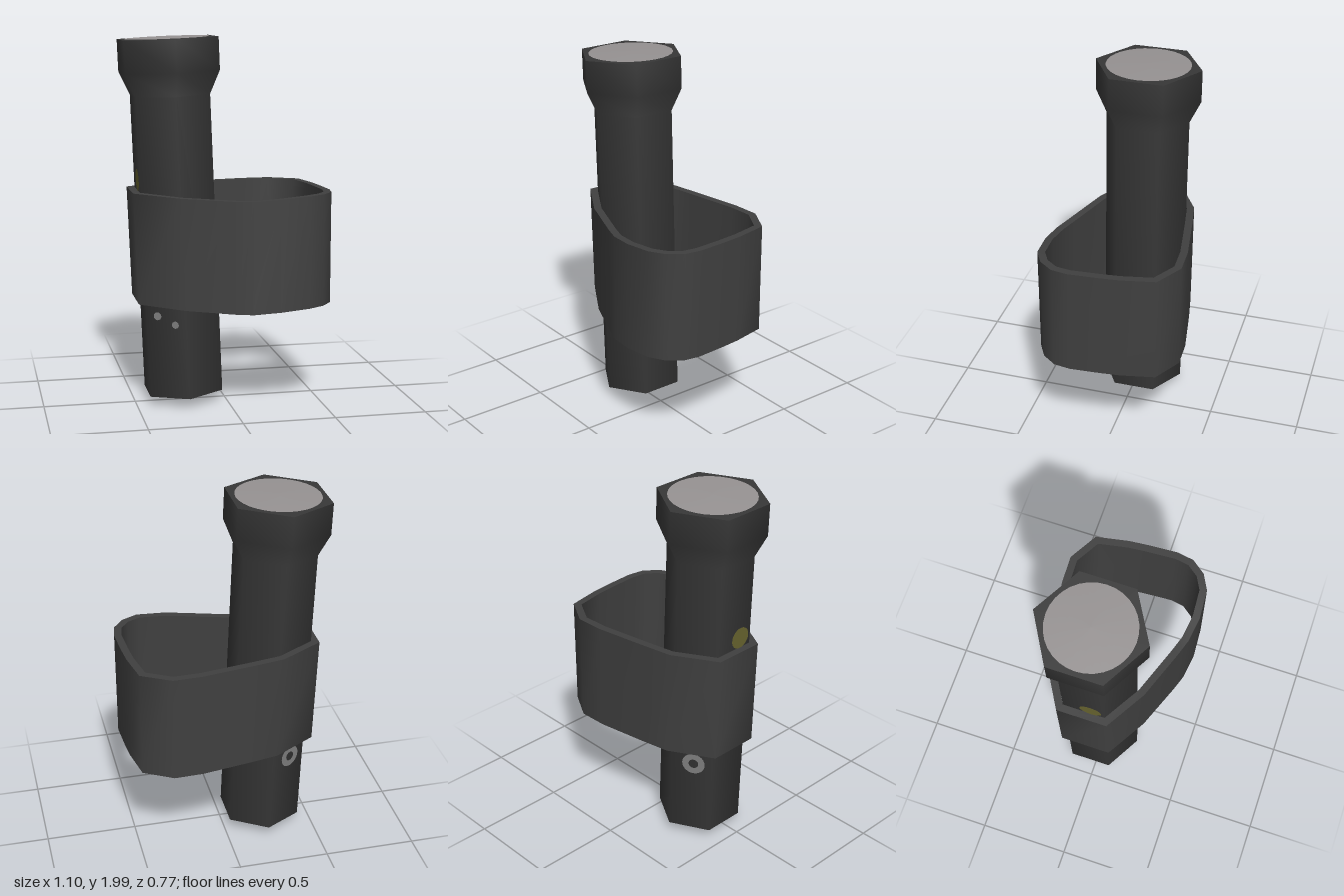
import * as THREE from 'three';

const mat = (name, color, side = THREE.FrontSide) =>
  Object.assign(new THREE.MeshStandardMaterial({ color, side }), { name });

function add(parent, name, geometry, material) {
  const mesh = new THREE.Mesh(geometry, material);
  mesh.name = name;
  parent.add(mesh);
  return mesh;
}

// Strap centre line: x, z, downward sag, share of the body's lean
const STRAP = [
  [-0.26, -0.284, 0, 1], [-0.1, -0.314, 0, 0.5], [0.18, -0.36, 0, 0],
  [0.33, -0.365, 0, 0], [0.475, -0.282, 0, 0], [0.508, -0.11, 0, 0],
  [0.518, 0, 0, 0], [0.527, 0.16, 0, 0], [0.513, 0.245, 0, 0],
  [0.46, 0.315, 0, 0], [0.38, 0.358, 0.002, 0], [0.225, 0.368, 0.014, 0],
  [0.09, 0.35, 0.025, 0], [0, 0.32, 0.025, 0.2], [-0.26, 0.224, 0.015, 1],
  [-0.48, 0.097, 0, 1], [-0.48, -0.157, 0, 1],
];

// Closed band with a rectangular section; each side has its own vertices so edges stay sharp
function strapGeometry(y0, y1, half) {
  const n = STRAP.length, mid = (y0 + y1) / 2;
  const sections = STRAP.map(([x, z, sag, lean], i) => {
    const a = STRAP[(i + n - 1) % n], b = STRAP[(i + 1) % n];
    const d1 = new THREE.Vector2(x - a[0], z - a[1]).normalize();
    const d2 = new THREE.Vector2(b[0] - x, b[1] - z).normalize();
    const t = d1.clone().add(d2).normalize();
    const w = half / t.dot(d1);
    const corner = (s, y) => [x + t.y * w * s - lean * 0.04 * (y - mid), y - sag, z - t.x * w * s];
    return [corner(1, y0), corner(1, y1), corner(-1, y1), corner(-1, y0)];
  });
  const positions = [], index = [];
  for (let k = 0; k < 4; k++) {
    const base = positions.length / 3;
    for (const s of sections) positions.push(...s[k], ...s[(k + 1) % 4]);
    for (let i = 0; i < n; i++) {
      const a = base + 2 * i, c = base + 2 * ((i + 1) % n);
      index.push(a, a + 1, c, a + 1, c + 1, c);
    }
  }
  const g = new THREE.BufferGeometry();
  g.setAttribute('position', new THREE.Float32BufferAttribute(positions, 3));
  g.setIndex(index);
  g.computeVertexNormals();
  return g;
}

export function createModel() {
  const black = mat('body black', 0x383838);
  const webbing = mat('strap black', 0x404040);
  const glass = mat('lens grey', 0x979393);
  const grey = mat('mark grey', 0x808080, THREE.DoubleSide);
  const yellow = mat('button yellow', 0x6a6630, THREE.DoubleSide);

  const model = new THREE.Group();
  model.name = 'flashlight';

  // Leaning hexagonal torch
  const torch = new THREE.Group();
  torch.name = 'torch';
  torch.position.set(-0.225, 0, -0.03);
  torch.rotation.z = 0.04;
  model.add(torch);

  const lathe = (pts, sides) =>
    new THREE.LatheGeometry(pts.map(([r, y]) => new THREE.Vector2(r, y)), sides);

  add(torch, 'body', lathe([[0, 0], [0.23, 0.055], [0.23, 1.685], [0.29, 1.81], [0.29, 1.985]], 6), black);
  add(torch, 'headRim', lathe([[0.29, 1.985], [0, 1.985]], 6), black);
  add(torch, 'lens', lathe([[0.227, 1.987], [0.12, 1.991], [0, 1.993]], 32), glass);

  // Thin details on the flat sides: face angle, offset along the face, height
  const onFace = (name, geometry, material, degrees, u, y) => {
    const a = THREE.MathUtils.degToRad(degrees), d = 0.203;
    const m = add(torch, name, geometry, material);
    m.position.set(Math.sin(a) * d + Math.cos(a) * u, y, Math.cos(a) * d - Math.sin(a) * u);
    m.rotation.y = a;
  };
  onFace('frontDotUpper', new THREE.CircleGeometry(0.022, 16), grey, -30, -0.05, 0.51);
  onFace('frontDotLower', new THREE.CircleGeometry(0.02, 16), grey, -30, 0.05, 0.465);
  onFace('backRing', new THREE.RingGeometry(0.027, 0.063, 24), grey, -150, 0.01, 0.49);
  onFace('sideButton', new THREE.CircleGeometry(0.06, 24), yellow, -90, 0.04, 1.24);

  // Hand strap wrapped around the torch
  add(model, 'handStrap', strapGeometry(0.57, 1.172, 0.02), webbing);

  return model;
}
